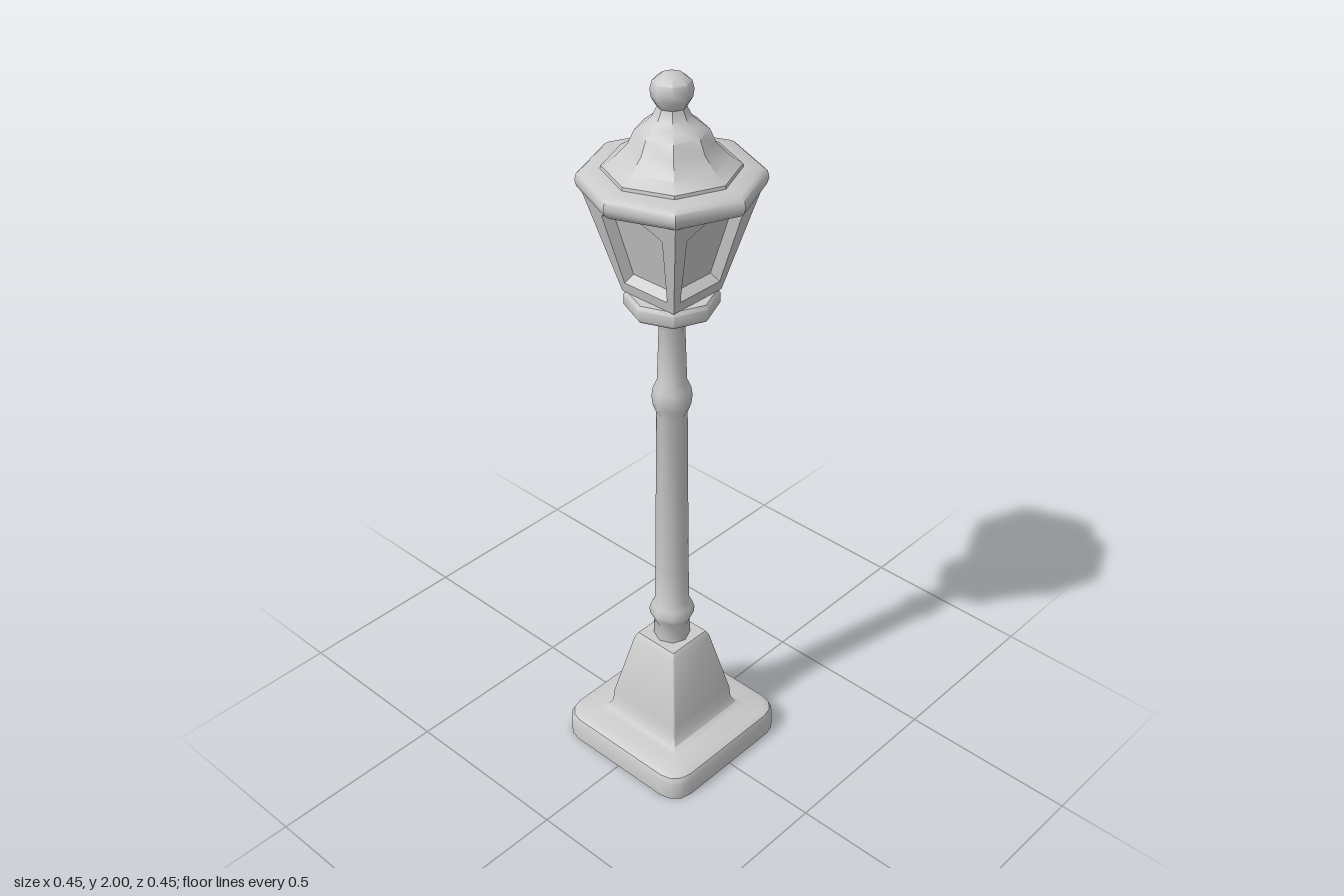
import * as THREE from 'three';
import { toCreasedNormals } from 'three/addons/utils/BufferGeometryUtils.js';

const grey = new THREE.MeshStandardMaterial({ color: 0xcccccc, side: THREE.DoubleSide });

function part(name, geometry) {
  const mesh = new THREE.Mesh(geometry, grey);
  mesh.name = name;
  return mesh;
}

// Eight-sided turned part from [radius, height] points, listed bottom to top
function turned(name, profile, crease) {
  const points = profile.map(([r, y]) => new THREE.Vector2(r, y));
  return part(name, toCreasedNormals(new THREE.LatheGeometry(points, 8), crease));
}

// Skin between closed rings that have equal point counts
function loft(rings, crease) {
  const n = rings[0].length;
  const index = [];
  for (let r = 0; r < rings.length - 1; r++) {
    for (let i = 0; i < n; i++) {
      const a = r * n + i, b = r * n + (i + 1) % n;
      index.push(a, a + n, b, b, a + n, b + n);
    }
  }
  const geometry = new THREE.BufferGeometry();
  geometry.setAttribute('position', new THREE.Float32BufferAttribute(rings.flat(2), 3));
  geometry.setIndex(index);
  return toCreasedNormals(geometry, crease);
}

// Horizontal square ring with rounded corners
function squareRing(half, radius, y) {
  const ring = [];
  for (let q = 0; q < 4; q++) {
    const mid = (q + 0.5) * Math.PI / 2;
    const cx = Math.sign(Math.cos(mid)) * (half - radius);
    const cz = Math.sign(Math.sin(mid)) * (half - radius);
    for (let k = 0; k <= 3; k++) {
      const a = (q + k / 3) * Math.PI / 2;
      ring.push([cx + radius * Math.cos(a), y, cz + radius * Math.sin(a)]);
    }
  }
  return ring;
}

// One sloping lantern side: frame, bevelled reveal and recessed pane
function lanternSide() {
  const side = new THREE.Group();
  side.name = 'lanternSide';
  const arch = new THREE.QuadraticBezierCurve(
    new THREE.Vector2(0.097, 0.222), new THREE.Vector2(0, 0.285), new THREE.Vector2(-0.097, 0.222));
  const opening = [new THREE.Vector2(-0.07, 0.03), new THREE.Vector2(0.07, 0.03), ...arch.getPoints(8)];
  const inner = opening.map(p => new THREE.Vector2(p.x * 0.85, 0.135 + (p.y - 0.135) * 0.87));

  const frame = new THREE.Shape([[-0.085, 0], [0.085, 0], [0.15, 0.278], [-0.15, 0.278]]
    .map(([x, y]) => new THREE.Vector2(x, y)));
  frame.holes.push(new THREE.Path(opening));
  side.add(part('windowFrame', new THREE.ShapeGeometry(frame)));

  const at = (loop, z) => loop.map(p => [p.x, p.y, z]);
  side.add(part('windowReveal', loft([at(inner, -0.025), at(opening, 0)], 0.6)));

  const pane = part('windowPane', new THREE.ShapeGeometry(new THREE.Shape(inner)));
  pane.position.z = -0.025;
  side.add(pane);

  side.position.set(0, 1.445, 0.085);
  side.rotation.x = Math.atan2(0.065, 0.27);
  return side;
}

export function createModel() {
  const model = new THREE.Group();
  model.name = 'streetLamp';

  // Hollow square foot: rounded plinth rising into a tapered pedestal
  const foot = [
    [0.222, 0.06, 0], [0.222, 0.06, 0.055], [0.216, 0.058, 0.07], [0.2, 0.05, 0.079],
    [0.148, 0.006, 0.081], [0.13, 0.005, 0.09], [0.12, 0.004, 0.108], [0.117, 0.004, 0.145],
    [0.074, 0.004, 0.345], [0.066, 0.004, 0.358], [0.01, 0.002, 0.358],
  ];
  model.add(part('foot', loft(foot.map(([h, r, y]) => squareRing(h, r, y)), 0.6)));
  const cap = part('pedestalTop', new THREE.BoxGeometry(0.04, 0.004, 0.04));
  cap.position.y = 0.356;
  model.add(cap);

  // Post with ring mouldings
  model.add(turned('post', [
    [0.05, 0.35], [0.049, 0.41], [0.06, 0.43], [0.062, 0.447], [0.057, 0.465], [0.047, 0.485],
    [0.045, 0.6], [0.04, 1.09], [0.049, 1.115], [0.052, 1.14], [0.049, 1.165], [0.038, 1.19],
    [0.033, 1.34], [0.039, 1.36], [0.04, 1.38], [0.033, 1.395], [0.033, 1.41],
  ], 0.9));

  // Collar under the lantern
  model.add(turned('collar', [
    [0, 1.4], [0.112, 1.4], [0.118, 1.408], [0.118, 1.435], [0.111, 1.445], [0, 1.445],
  ], 0.9));

  // Four-sided lantern
  const lantern = new THREE.Group();
  lantern.name = 'lantern';
  for (let i = 0; i < 4; i++) {
    const turn = new THREE.Group();
    turn.name = 'lanternQuarter';
    turn.rotation.y = i * Math.PI / 2;
    turn.add(lanternSide());
    lantern.add(turn);
  }
  model.add(lantern);

  // Eight-sided roof with a rounded eave
  model.add(turned('eave', [
    [0, 1.715], [0.212, 1.715], [0.223, 1.725], [0.227, 1.74], [0.223, 1.757], [0.212, 1.766],
    [0.16, 1.768],
  ], 0.7));
  model.add(turned('roof', [
    [0.167, 1.766], [0.165, 1.776], [0.135, 1.796], [0.102, 1.83], [0.087, 1.864], [0.064, 1.882],
    [0.047, 1.896], [0.036, 1.918], [0.033, 1.93],
  ], 0.55));

  // Finial ball
  model.add(turned('finial', [
    [0.03, 1.915], [0.036, 1.922], [0.048, 1.942], [0.051, 1.962], [0.046, 1.982], [0.028, 1.996], [0, 2],
  ], 0.9));

  return model;
}
